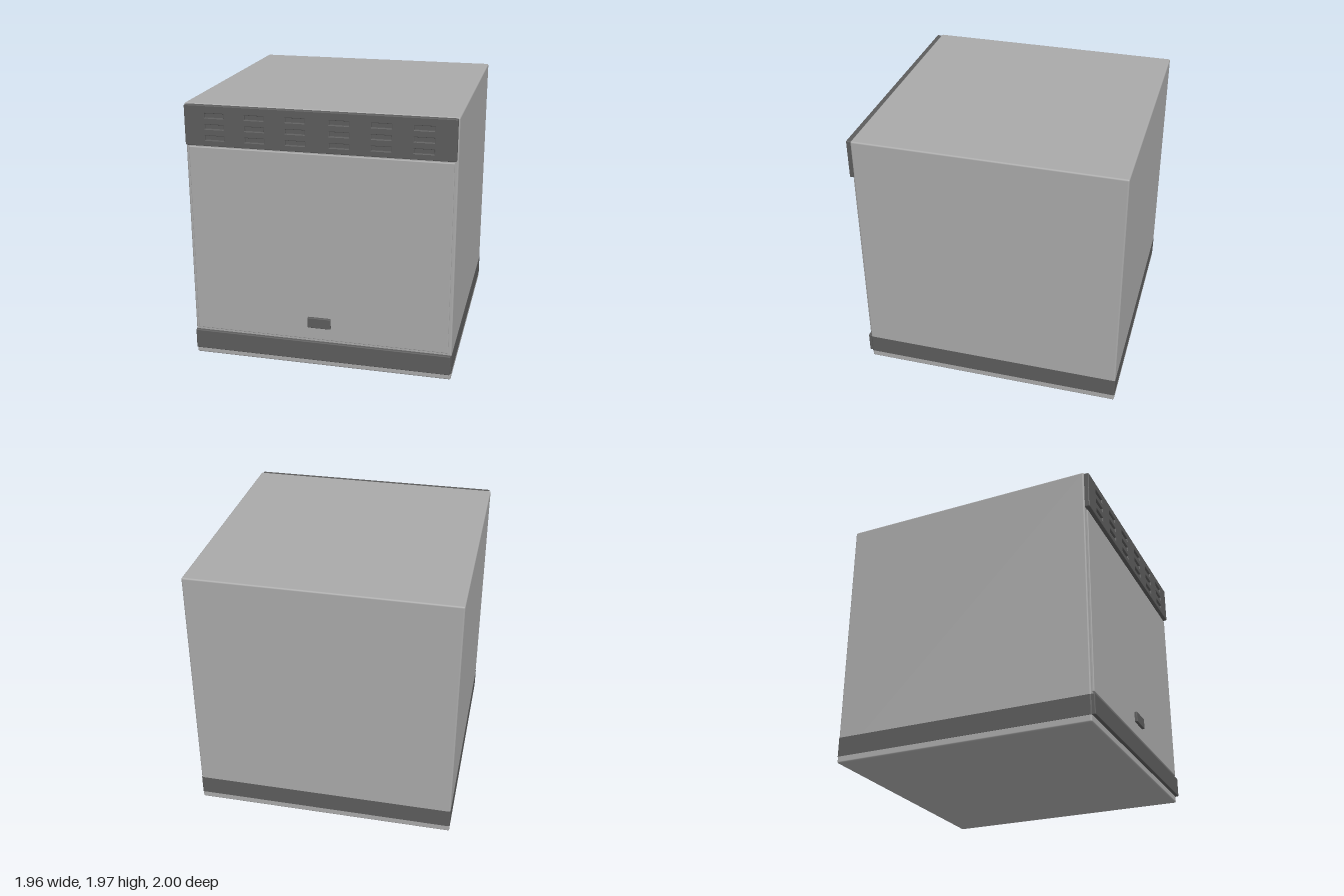
import * as THREE from 'three';
import { RoundedBoxGeometry } from 'three/addons/geometries/RoundedBoxGeometry.js';

const flat = (name, color) => Object.assign(new THREE.MeshStandardMaterial({ color }), { name });

// Rounded rectangle outline centred on (x, y)
function roundedRect(path, x, y, w, h, r) {
  const l = x - w / 2, b = y - h / 2, R = l + w, t = b + h;
  path.moveTo(l + r, b);
  path.lineTo(R - r, b).quadraticCurveTo(R, b, R, b + r);
  path.lineTo(R, t - r).quadraticCurveTo(R, t, R - r, t);
  path.lineTo(l + r, t).quadraticCurveTo(l, t, l, t - r);
  path.lineTo(l, b + r).quadraticCurveTo(l, b, l + r, b);
  return path;
}

export function createModel() {
  const group = new THREE.Group();
  const light = flat('light grey enamel', 0xa9a9a9);
  const dark = flat('dark grey trim', 0x5c5c5c);

  const add = (name, geometry, material, x, y, z) => {
    const mesh = new THREE.Mesh(geometry, material);
    mesh.name = name;
    mesh.position.set(x, y, z);
    group.add(mesh);
  };
  // Rounded box given by its limits
  const box = (name, material, [x0, x1], [y0, y1], [z0, z1], r) =>
    add(name, new RoundedBoxGeometry(x1 - x0, y1 - y0, z1 - z0, 3, r), material,
      (x0 + x1) / 2, (y0 + y1) / 2, (z0 + z1) / 2);

  // Cabinet and door
  box('cabinet', light, [-0.98, 0.98], [0, 1.965], [-0.999, 0.965], 0.012);
  box('door', light, [-0.955, 0.955], [0.22, 1.65], [0.95, 0.98], 0.006);
  box('doorLatch', dark, [-0.088, 0.085], [0.32, 0.4], [0.96, 1], 0.005);

  // Base band wrapped around the cabinet, with a raised kick plate in front
  const bandShape = roundedRect(new THREE.Shape(), 0, 0, 1.963, 1.967, 0.012);
  const band = new THREE.ExtrudeGeometry(bandShape, { depth: 0.145, bevelEnabled: false, curveSegments: 4 });
  band.rotateX(-Math.PI / 2);
  add('baseBand', band, dark, 0, 0.05, -0.0165);
  box('kickPlate', dark, [-0.975, 0.975], [0.05, 0.2], [0.95, 0.99], 0.006);

  // Vent panel with six columns of three slots
  const panel = roundedRect(new THREE.Shape(), 0, 1.8125, 1.93, 0.285, 0.006);
  for (const side of [-1, 1])
    for (const x of [0.157, 0.453, 0.748])
      for (const y of [1.725, 1.806, 1.887])
        panel.holes.push(roundedRect(new THREE.Path(), side * x, y, 0.15, 0.042, 0.006));
  const vent = new THREE.ExtrudeGeometry(panel, {
    depth: 0.03, bevelThickness: 0.005, bevelSize: 0.005, bevelSegments: 2, curveSegments: 3,
  });
  add('ventPanel', vent, dark, 0, 0, 0.965);
  box('ventBacking', dark, [-0.96, 0.96], [1.68, 1.945], [0.96, 0.982], 0.004);

  return group;
}
